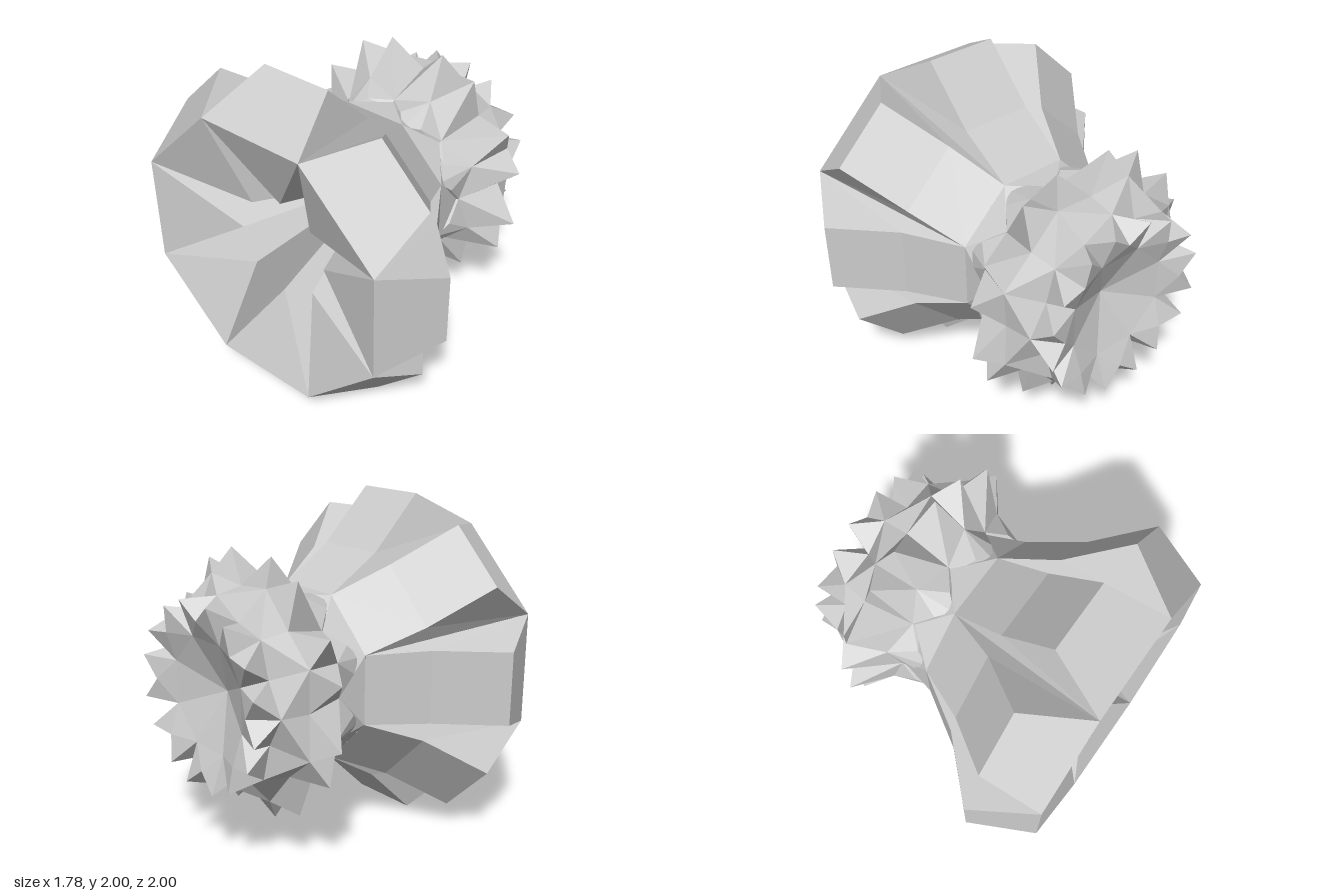
import * as THREE from 'three';

const STEP = Math.PI / 4;          // eight petals around the x axis
const HALF = STEP / 2;             // angle from petal middle to valley
const TIP = 13.5 * Math.PI / 180;  // angle from petal middle to spike tip

// Point at distance r from the axis, at station x
const at = (x, r, a) => [x, 1 + r * Math.cos(a), r * Math.sin(a)];
// Point on a flat petal face: height h above the axis, sideways w
const onPetal = (x, h, w, a) => at(x, Math.hypot(h, w), a + Math.atan2(w, h));

// Collects polygons (fanned into triangles) and turns them into a faceted mesh
function facets(name, fill) {
  const pos = [];
  const face = (...p) => {
    for (let i = 1; i < p.length - 1; i++) pos.push(...p[0], ...p[i], ...p[i + 1]);
  };
  for (let k = 0; k < 8; k++) fill(face, k * STEP);
  const geo = new THREE.BufferGeometry();
  geo.setAttribute('position', new THREE.Float32BufferAttribute(pos, 3));
  geo.computeVertexNormals();
  const mesh = new THREE.Mesh(geo, new THREE.MeshStandardMaterial({
    color: 0xcccccc, flatShading: true, side: THREE.DoubleSide,
  }));
  mesh.name = name;
  return mesh;
}

export function createModel() {
  const group = new THREE.Group();
  group.name = 'flutedHorn';

  // Flared horn: raised petals with creased valleys between them
  group.add(facets('hornPetals', (face, a) => {
    const stations = [[-0.895, 0.8, 0.331], [-0.535, 1, 0.215], [-0.22, 0.69, 0.215], [0.1, 0.49, 0.203]];
    const lo = stations.map(([x, h, w]) => onPetal(x, h, -w, a));
    const hi = stations.map(([x, h, w]) => onPetal(x, h, w, a));
    for (let i = 0; i < 3; i++) face(lo[i], hi[i], hi[i + 1], lo[i + 1]);
    face(hi[0], hi[3], hi[2], hi[1]);
    face(lo[0], lo[1], lo[2], lo[3]);
  }));

  // Deep funnel in the mouth of the horn, with a tooth pointing in from each petal
  group.add(facets('hornMouth', (face, a) => {
    const before = at(-0.895, 0.866, a - HALF), after = at(-0.895, 0.866, a + HALF);
    const tooth = at(-0.7, 0.3, a), bottom = [0.15, 1, 0];
    face(before, tooth, after);
    face(before, bottom, tooth);
    face(after, tooth, bottom);
  }));

  // Neck faces narrowing to a point under the ball
  group.add(facets('neck', (face, a) => {
    const v = at(0.1, 0.53, a + HALF), c = at(0.28, 0.48, a);
    face(at(0.1, 0.53, a - HALF), v, c);
    face(v, at(0.28, 0.48, a + STEP), c);
  }));

  // Spiked ball: [petal x, petal r, valley x, valley r] per ring
  const rings = [
    [0.26, 0.46, 0.12, 0.5],
    [0.29, 0.49, 0.34, 0.58],
    [0.57, 0.58, 0.59, 0.66],
    [0.73, 0.55, 0.72, 0.47],
    [0.87, 0.43, 0.81, 0.336],
  ];
  // Spike tip [x, r] for each half petal of a band; a band without one is plain
  const tips = [[0.19, 0.515], [0.5, 0.78], null, [0.89, 0.545]];
  group.add(facets('spikedBall', (face, a) => {
    for (const s of [-1, 1]) {
      tips.forEach((tip, i) => {
        const [p, q] = [rings[i], rings[i + 1]];
        const petal = [p, q].map(([x, r]) => at(x, r, a));
        const valley = [p, q].map(([, , x, r]) => at(x, r, a + s * HALF));
        const corners = s > 0
          ? [valley[0], valley[1], petal[1], petal[0]]
          : [valley[0], petal[0], petal[1], valley[1]];
        if (!tip) return face(...corners);
        const point = at(tip[0], tip[1], a + s * TIP);
        corners.forEach((c, j) => face(c, corners[(j + 1) % 4], point));
      });
    }
  }));

  // Hollow cone in the end of the ball
  group.add(facets('endHollow', (face, a) => {
    const [px, pr, vx, vr] = rings[4];
    const before = at(vx, vr, a - HALF), after = at(vx, vr, a + HALF);
    face(before, at(px, pr, a), after);
    face(before, after, [0.68, 1, 0]);
  }));

  return group;
}
